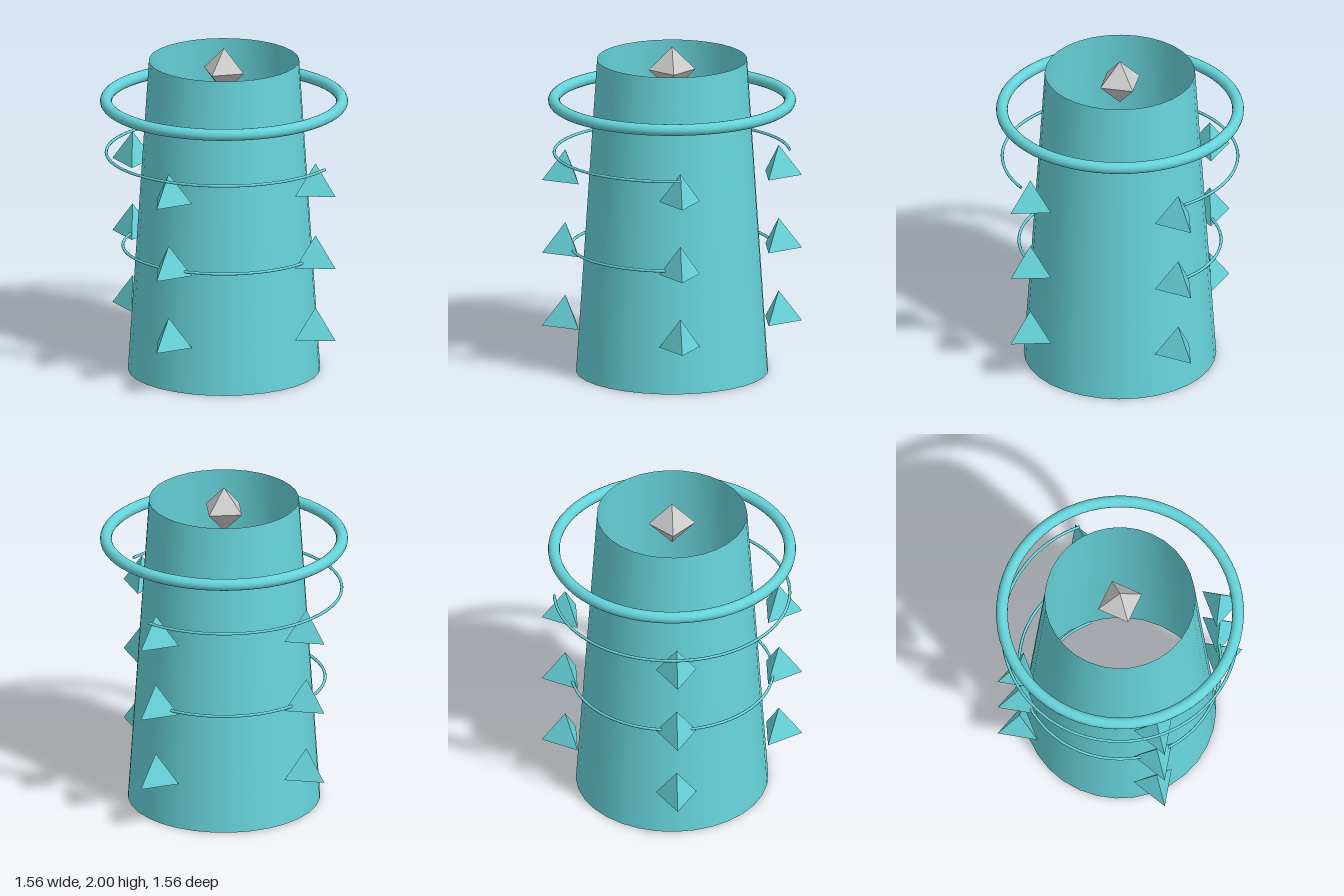
import * as THREE from 'three';

const teal = { color: 0x66d3da };

export function createModel() {
  const model = new THREE.Group();

  const add = (name, geometry, material, x, y, z) => {
    const mesh = new THREE.Mesh(geometry, material);
    mesh.name = name;
    mesh.position.set(x, y, z);
    model.add(mesh);
    return mesh;
  };

  const smooth = new THREE.MeshStandardMaterial(teal);
  const open = new THREE.MeshStandardMaterial({ ...teal, side: THREE.DoubleSide });
  const faceted = new THREE.MeshStandardMaterial({ ...teal, flatShading: true });
  const grey = new THREE.MeshStandardMaterial({ color: 0xcccccc, flatShading: true });

  // Tapered tube, open at both ends
  const height = 1.926;
  add('towerShell', new THREE.CylinderGeometry(0.45, 0.576, height, 32, 1, true), open, 0, height / 2, 0);

  // Floating crystal in the mouth of the tube
  add('crystal', new THREE.OctahedronGeometry(0.14), grey, 0, 1.86, 0);

  // Thick halo ring
  add('haloRing', new THREE.TorusGeometry(0.707, 0.035, 16, 64), smooth, 0, 1.67, 0).rotation.x = Math.PI / 2;

  // Three-quarter thin rings, narrowing downwards; the lowest sits inside the tube
  for (let i = 0; i < 3; i++) {
    const arc = new THREE.TorusGeometry(0.505 + 0.1 * i, 0.009, 8, 64, Math.PI * 1.5);
    add('thinArc' + (i + 1), arc, open, 0, 0.19 + 0.58 * i, 0).rotation.x = Math.PI / 2;
  }

  // Three tiers of four triangular spikes, one corner pointing outwards
  const spikeHeight = 0.187;
  const spike = new THREE.ConeGeometry(0.14, spikeHeight, 3);
  for (let tier = 0; tier < 3; tier++) {
    for (let side = 0; side < 4; side++) {
      const angle = side * Math.PI / 2;
      add('spike', spike, faceted,
        0.64 * Math.sin(angle), 0.292 + 0.45 * tier + spikeHeight / 2, 0.64 * Math.cos(angle)
      ).rotation.y = angle;
    }
  }

  return model;
}
